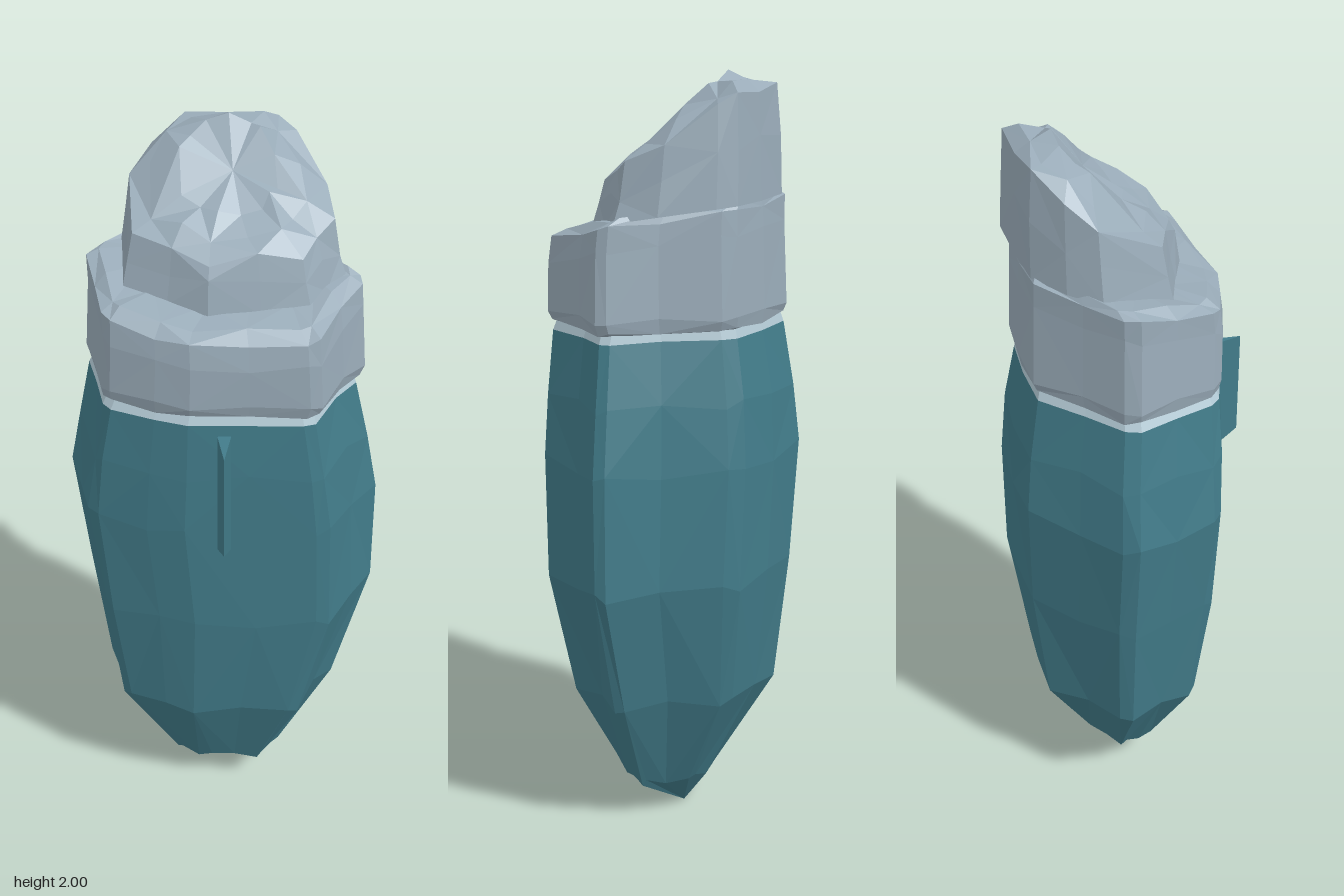
import * as THREE from 'three';

// Irregular body outline seen from above (x, z), running left, back, right, front
const BODY = [[-0.41, -0.11], [-0.39, -0.15], [-0.28, -0.225], [-0.155, -0.32], [0, -0.317], [0.145, -0.30],
  [0.185, -0.27], [0.285, -0.13], [0.40, -0.03], [0.405, 0], [0.34, 0.08], [0.275, 0.21], [0.24, 0.22],
  [0.07, 0.22], [-0.10, 0.22], [-0.20, 0.19], [-0.33, 0.14], [-0.355, 0.11], [-0.38, 0]];
// Outline of the hood on top
const HOOD = [[-0.26, -0.15], [-0.20, -0.22], [-0.11, -0.28], [0.02, -0.28], [0.15, -0.275], [0.20, -0.24],
  [0.28, -0.12], [0.30, -0.01], [0.25, 0.04], [0.21, 0.10], [0.09, 0.115], [-0.04, 0.13], [-0.14, 0.08], [-0.25, 0.03]];

// Fits an outline into the box x0..x1, z0..z1; y is a number or a rule of (x, z)
function ring(outline, [x0, x1, z0, z1], y) {
  const xs = outline.map(p => p[0]), zs = outline.map(p => p[1]);
  const ax = Math.min(...xs), bx = Math.max(...xs), az = Math.min(...zs), bz = Math.max(...zs);
  return outline.map(([px, pz]) => {
    const x = x0 + (px - ax) / (bx - ax) * (x1 - x0);
    const z = z0 + (pz - az) / (bz - az) * (z1 - z0);
    return [x, typeof y === 'function' ? y(x, z) : y, z];
  });
}

// Skins a stack of rings, with a slight wobble on the sides for the facets
function loft(name, rings, color, wobble = 0) {
  const n = rings[0].length, pos = [], index = [];
  rings.forEach((r, i) => r.forEach(([x, y, z], j) => {
    const inner = i > 0 && i < rings.length - 1;
    const k = inner ? 1 - wobble * (0.5 + 0.5 * Math.sin(i * 2.7 + j * 4.1)) : 1;
    const dy = inner ? wobble * Math.sin(i * 1.9 + j * 2.3) : 0;
    pos.push(x * k, y + dy, z * k);
  }));
  for (let i = 0; i < rings.length - 1; i++) {
    for (let j = 0; j < n; j++) {
      const a = i * n + j, b = i * n + (j + 1) % n, c = a + n, d = b + n;
      if ((i + j) % 2) index.push(a, c, b, b, c, d);
      else index.push(a, c, d, a, d, b);
    }
  }
  const g = new THREE.BufferGeometry();
  g.setAttribute('position', new THREE.Float32BufferAttribute(pos, 3));
  g.setIndex(index);
  return finish(name, g, color);
}

function finish(name, geometry, color) {
  const flat = geometry.index ? geometry.toNonIndexed() : geometry;
  flat.computeVertexNormals();
  const mesh = new THREE.Mesh(flat, new THREE.MeshStandardMaterial({ color, flatShading: true, side: THREE.DoubleSide }));
  mesh.name = name;
  return mesh;
}

export function createModel() {
  const model = new THREE.Group();
  model.name = 'hoodedFigure';
  const teal = 0x427c8a, grey = 0x9aacb9, pale = 0xb4cbd6;

  // Tapered body, pointed at the bottom
  model.add(loft('body', [
    ring(BODY, [0, 0, -0.06, -0.06], 0.005),
    ring(BODY, [-0.155, 0.16, -0.13, 0.07], 0.11),
    ring(BODY, [-0.325, 0.305, -0.27, 0.175], 0.38),
    ring(BODY, [-0.375, 0.405, -0.313, 0.212], 0.72),
    ring(BODY, [-0.41, 0.402, -0.32, 0.22], 1.03),
    ring(BODY, [-0.385, 0.375, -0.308, 0.222], 1.2),
    ring(BODY, [-0.35, 0.335, -0.278, 0.215], 1.36),
  ], teal, 0.012));

  // Pale band between body and collar
  model.add(loft('neckBand', [
    ring(BODY, [-0.35, 0.335, -0.278, 0.215], 1.36),
    ring(BODY, [-0.335, 0.325, -0.27, 0.205], 1.39),
  ], pale));

  // Thick collar with a ledge that rises toward the back
  const ledge = (x, z) => 1.585 + (0.21 - z) * 0.2 + 0.18 * x * x;
  model.add(loft('collar', [
    ring(BODY, [-0.33, 0.32, -0.265, 0.20], 1.38),
    ring(BODY, [-0.35, 0.345, -0.28, 0.213], 1.385),
    ring(BODY, [-0.355, 0.355, -0.287, 0.222], 1.415),
    ring(BODY, [-0.345, 0.345, -0.28, 0.222], (x, z) => ledge(x, z) - 0.06),
    ring(BODY, [-0.345, 0.34, -0.278, 0.213], ledge),
    ring(BODY, [-0.315, 0.31, -0.272, 0.18], (x, z) => ledge(x, z) + 0.02),
    ring(BODY, [-0.22, 0.26, -0.25, 0.09], (x, z) => ledge(x, z) + 0.02),
  ], grey, 0.006));

  // Hood, cut off at a slope that climbs to the back
  const slope = (front, z0, s) => (x, z) => front + (z0 - z) * s - 0.5 * (x - 0.02) ** 2;
  model.add(loft('hood', [
    ring(HOOD, [-0.26, 0.30, -0.278, 0.13], (x, z) => ledge(x, z) + 0.01),
    ring(HOOD, [-0.248, 0.285, -0.275, 0.115], slope(1.70, 0.115, 0.38)),
    ring(HOOD, [-0.235, 0.27, -0.268, 0.10], slope(1.75, 0.10, 0.6)),
    ring(HOOD, [-0.185, 0.20, -0.235, 0.05], slope(1.785, 0.05, 0.71)),
    ring(HOOD, [-0.11, 0.13, -0.18, -0.01], slope(1.82, -0.01, 1.05)),
    ring(HOOD, [0.02, 0.02, -0.10, -0.10], 1.895),
  ], grey, 0.012));

  // Thin wedge on the front, its lower edge sloping up to the tip
  const wedge = new THREE.Shape([[-0.02, 0.2], [0.02, 0.2], [0, 0.32]].map(p => new THREE.Vector2(...p)));
  const g = new THREE.ExtrudeGeometry(wedge, { depth: 0.36, bevelEnabled: false });
  g.rotateX(Math.PI / 2);
  g.translate(0, 1.33, 0);
  const p = g.attributes.position;
  for (let i = 0; i < p.count; i++) {
    if (p.getY(i) < 1.1 && p.getZ(i) > 0.25) p.setY(i, 1.035);
  }
  model.add(finish('frontWedge', g, teal));

  return model;
}
